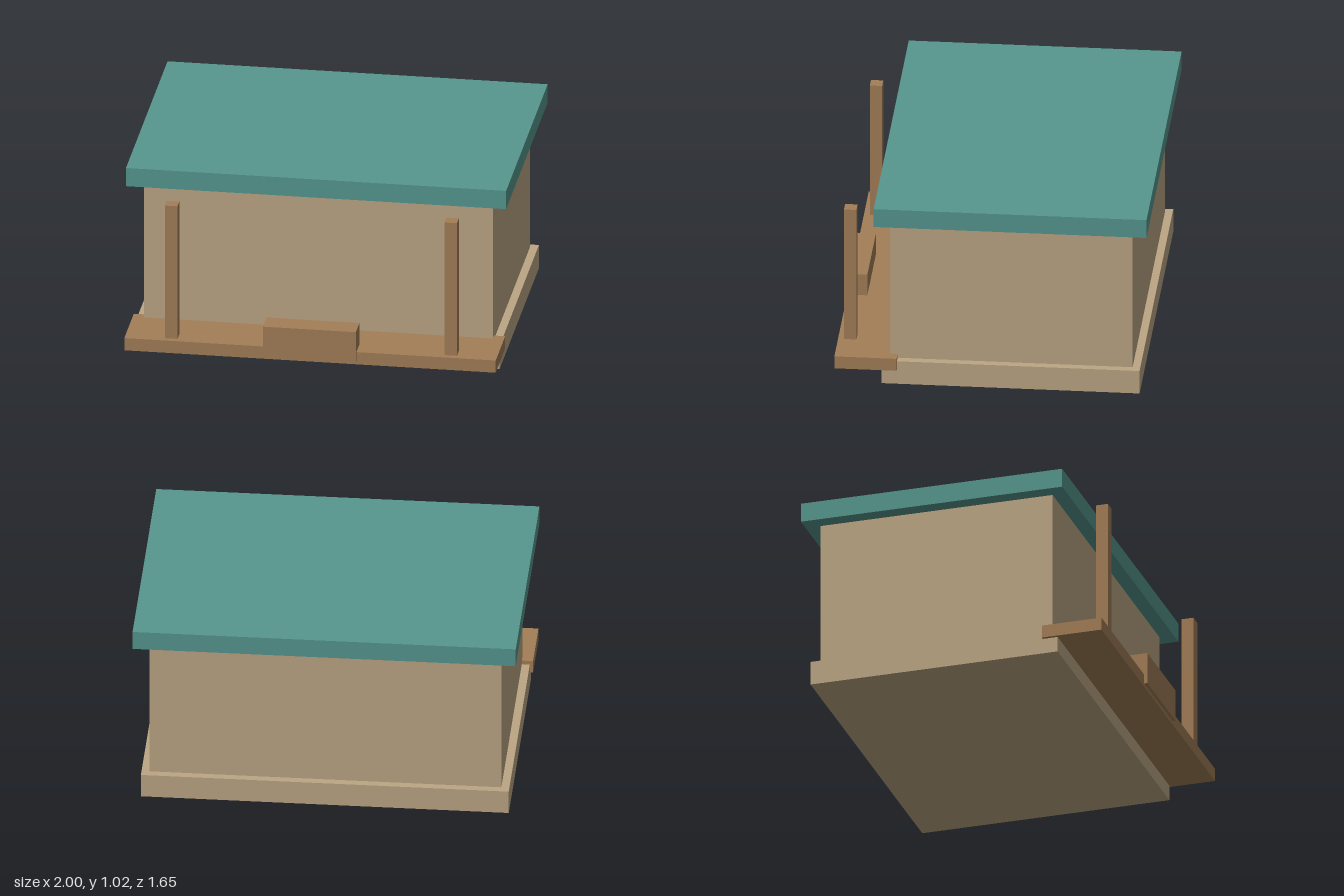
import * as THREE from 'three';

const tan = new THREE.MeshStandardMaterial({ color: 0xbca684 });
const wood = new THREE.MeshStandardMaterial({ color: 0xa27e57 });
const teal = new THREE.MeshStandardMaterial({ color: 0x56978f });

// Box given by its extents along each axis
function slab(name, material, [x0, x1], [y0, y1], [z0, z1]) {
  const mesh = new THREE.Mesh(new THREE.BoxGeometry(x1 - x0, y1 - y0, z1 - z0), material);
  mesh.position.set((x0 + x1) / 2, (y0 + y1) / 2, (z0 + z1) / 2);
  mesh.name = name;
  return mesh;
}

export function createModel() {
  const group = new THREE.Group();
  group.name = 'cabin';

  // Main building
  group.add(
    slab('foundation', tan, [-0.96, 0.96], [0, 0.13], [-0.785, 0.563]),
    slab('walls', tan, [-0.918, 0.918], [0.13, 0.922], [-0.745, 0.522]),
    slab('roof', teal, [-1, 1], [0.922, 1.025], [-0.825, 0.6])
  );

  // Porch with its front step
  group.add(
    slab('porchDeck', wood, [-0.977, 0.977], [0.083, 0.152], [0.482, 0.807]),
    slab('frontStep', wood, [-0.244, 0.244], [0.1, 0.272], [0.702, 0.825])
  );

  // Porch posts, left and right
  for (const side of [1, -1]) {
    const x = side * 0.735;
    group.add(slab(side > 0 ? 'leftPost' : 'rightPost', wood,
      [x - 0.033, x + 0.033], [0.152, 0.902], [0.711, 0.776]));
  }

  return group;
}
